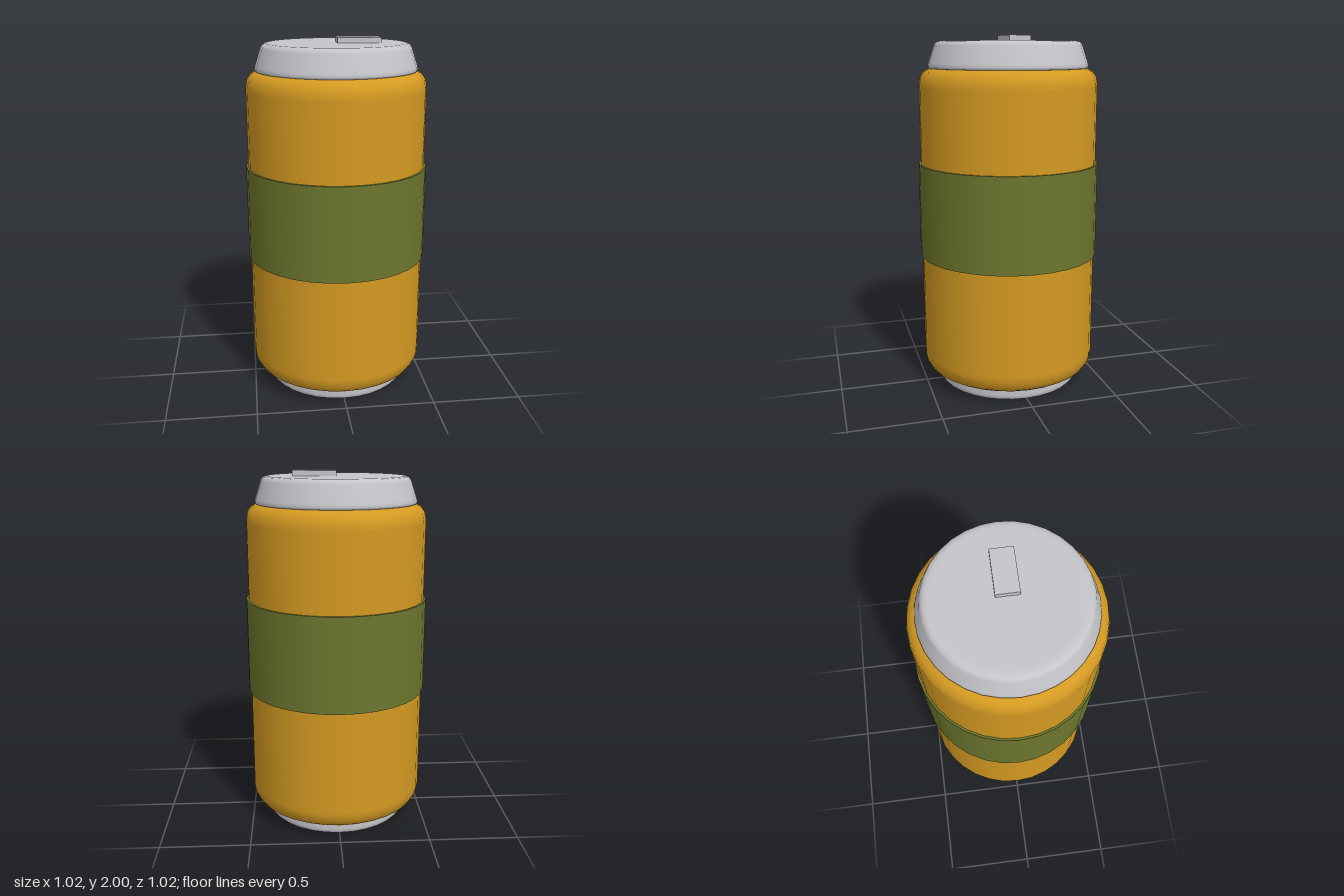
import * as THREE from 'three';

const SIDES = 32;

function material(name, color) {
  const m = new THREE.MeshStandardMaterial({ color });
  m.name = name;
  return m;
}

// Revolved part from [radius, height] points, listed bottom to top
function turned(name, points, mat) {
  const profile = points.map(([r, y]) => new THREE.Vector2(r, y));
  const mesh = new THREE.Mesh(new THREE.LatheGeometry(profile, SIDES), mat);
  mesh.name = name;
  return mesh;
}

// Flat ring facing up or down, closing an end of the sleeve
function rim(name, y, tilt, mat) {
  const mesh = new THREE.Mesh(new THREE.RingGeometry(0.49, 0.512, SIDES), mat);
  mesh.rotation.x = tilt;
  mesh.position.y = y;
  mesh.name = name;
  return mesh;
}

export function createModel() {
  const amber = material('amber', 0xd49a22);
  const olive = material('olive', 0x6c762e);
  const silver = material('silver', 0xc6c5ca);

  const model = new THREE.Group();
  model.name = 'drinkCan';

  // Can wall with rounded shoulders
  model.add(turned('body', [
    [0, 0.07], [0.42, 0.07], [0.443, 0.074], [0.472, 0.092], [0.493, 0.125], [0.5, 0.16],
    [0.5, 0.18], [0.5, 1.72], [0.5, 1.74], [0.493, 1.777], [0.472, 1.806], [0.443, 1.821],
    [0.42, 1.824], [0, 1.824],
  ], amber));

  // Foot
  model.add(turned('base', [
    [0, 0], [0.385, 0], [0.4, 0.004], [0.408, 0.015], [0.41, 0.03], [0.41, 0.08],
  ], silver));

  // Tapered lid with a soft upper edge
  model.add(turned('lid', [
    [0, 1.82], [0.43, 1.82], [0.446, 1.823], [0.45, 1.834], [0.446, 1.85], [0.415, 1.945],
    [0.408, 1.957], [0.397, 1.967], [0.38, 1.971], [0.36, 1.971], [0, 1.971],
  ], silver));

  // Sleeve around the middle
  const sleeve = new THREE.Group();
  sleeve.name = 'sleeve';
  sleeve.add(turned('sleeveWall', [[0.512, 0.763], [0.512, 1.293]], olive));
  sleeve.add(rim('sleeveTop', 1.293, -Math.PI / 2, olive));
  sleeve.add(rim('sleeveBottom', 0.763, Math.PI / 2, olive));
  model.add(sleeve);

  // Pull tab
  const tab = new THREE.Mesh(new THREE.BoxGeometry(0.24, 0.035, 0.12), silver);
  tab.position.set(0.121, 1.9825, 0);
  tab.name = 'pullTab';
  model.add(tab);

  return model;
}
